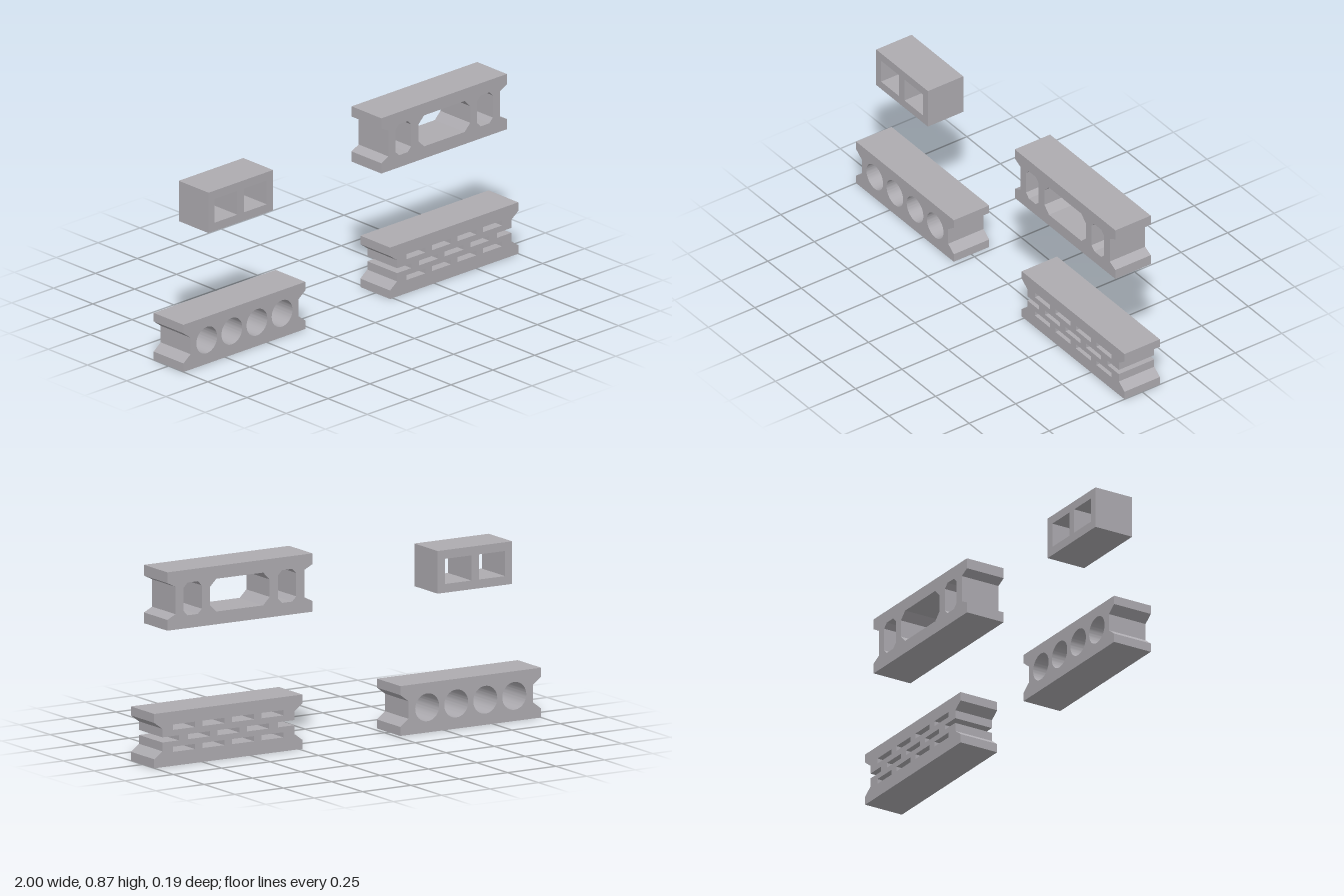
import * as THREE from 'three';
import { toCreasedNormals } from 'three/addons/utils/BufferGeometryUtils.js';

const DEPTH = 0.19;
const NOTCH = 0.042; // how far the block ends are recessed

const polygon = (pts, Type = THREE.Path) => new Type(pts.map(([x, y]) => new THREE.Vector2(x, y)));

// Rectangle given by its edges, with optional chamfered corners
function rect(x0, x1, y0, y1, c = 0) {
  if (!c) return [[x0, y0], [x1, y0], [x1, y1], [x0, y1]];
  return [[x0 + c, y0], [x1 - c, y0], [x1, y0 + c], [x1, y1 - c],
    [x1 - c, y1], [x0 + c, y1], [x0, y1 - c], [x0, y0 + c]];
}

// I-shaped outline: flanges top and bottom, sloping into recessed ends.
// slot = [yLow, yHigh, depth] cuts an open slot into both ends.
function flanged(x0, x1, y0, y1, flange, slope, slot) {
  const mid = (x0 + x1) / 2, half = (x1 - x0) / 2, inner = half - NOTCH;
  const side = [[half, y0], [half, y0 + flange], [inner, y0 + flange + slope]];
  if (slot) {
    const [a, b, d] = slot;
    side.push([inner, a], [inner - d, a], [inner - d, b], [inner, b]);
  }
  side.push([inner, y1 - flange - slope], [half, y1 - flange], [half, y1]);
  const right = side.map(([x, y]) => [mid + x, y]);
  const left = side.map(([x, y]) => [mid - x, y]).reverse();
  return [...right, ...left];
}

function makeBlock(name, outline, holes, material) {
  const shape = polygon(outline, THREE.Shape);
  shape.holes.push(...holes);
  const geo = new THREE.ExtrudeGeometry(shape, { depth: DEPTH, bevelEnabled: false, curveSegments: 32 });
  geo.translate(0, 0, -DEPTH / 2);
  const mesh = new THREE.Mesh(toCreasedNormals(geo, 0.4), material);
  mesh.name = name;
  return mesh;
}

export function createModel() {
  const group = new THREE.Group();
  group.name = 'concreteBlocks';
  const concrete = new THREE.MeshStandardMaterial({ color: 0xadabb0 });
  concrete.name = 'concrete grey';

  // Small block with two square cells
  group.add(makeBlock('twoCellBlock', rect(-0.85, -0.465, 0.612, 0.802), [
    polygon(rect(-0.814, -0.679, 0.651, 0.763)),
    polygon(rect(-0.64, -0.503, 0.651, 0.763)),
  ], concrete));

  // Tall block with chamfered cells
  group.add(makeBlock('chamferedCellBlock', flanged(0.182, 0.932, 0.605, 0.865, 0.048, 0.021), [
    polygon(rect(0.266, 0.36, 0.662, 0.808, 0.021)),
    polygon(rect(0.403, 0.713, 0.662, 0.808, 0.034)),
    polygon(rect(0.754, 0.848, 0.662, 0.808, 0.021)),
  ], concrete));

  // Block with four round bores
  const bores = [];
  for (let i = 0; i < 4; i++) {
    bores.push(new THREE.Path().absarc(-0.861 + i * 0.15, 0.112, 0.062, 0, Math.PI * 2, true));
  }
  group.add(makeBlock('roundBoreBlock', flanged(-1, -0.272, 0, 0.222, 0.04, 0.032), bores, concrete));

  // Block with three staggered rows of slots, the middle row open at the ends
  const slots = [], centre = 0.617, pitch = 0.1525, half = 0.0565;
  const addRow = (count, y0, y1) => {
    for (let i = 0; i < count; i++) {
      const x = centre + (i - (count - 1) / 2) * pitch;
      slots.push(polygon(rect(x - half, x + half, y0, y1)));
    }
  };
  addRow(4, 0.062, 0.085);
  addRow(3, 0.11, 0.133);
  addRow(4, 0.16, 0.184);
  group.add(makeBlock('slottedBlock',
    flanged(0.234, 1, 0, 0.242, 0.04, 0.031, [0.11, 0.133, 0.085]), slots, concrete));

  return group;
}
